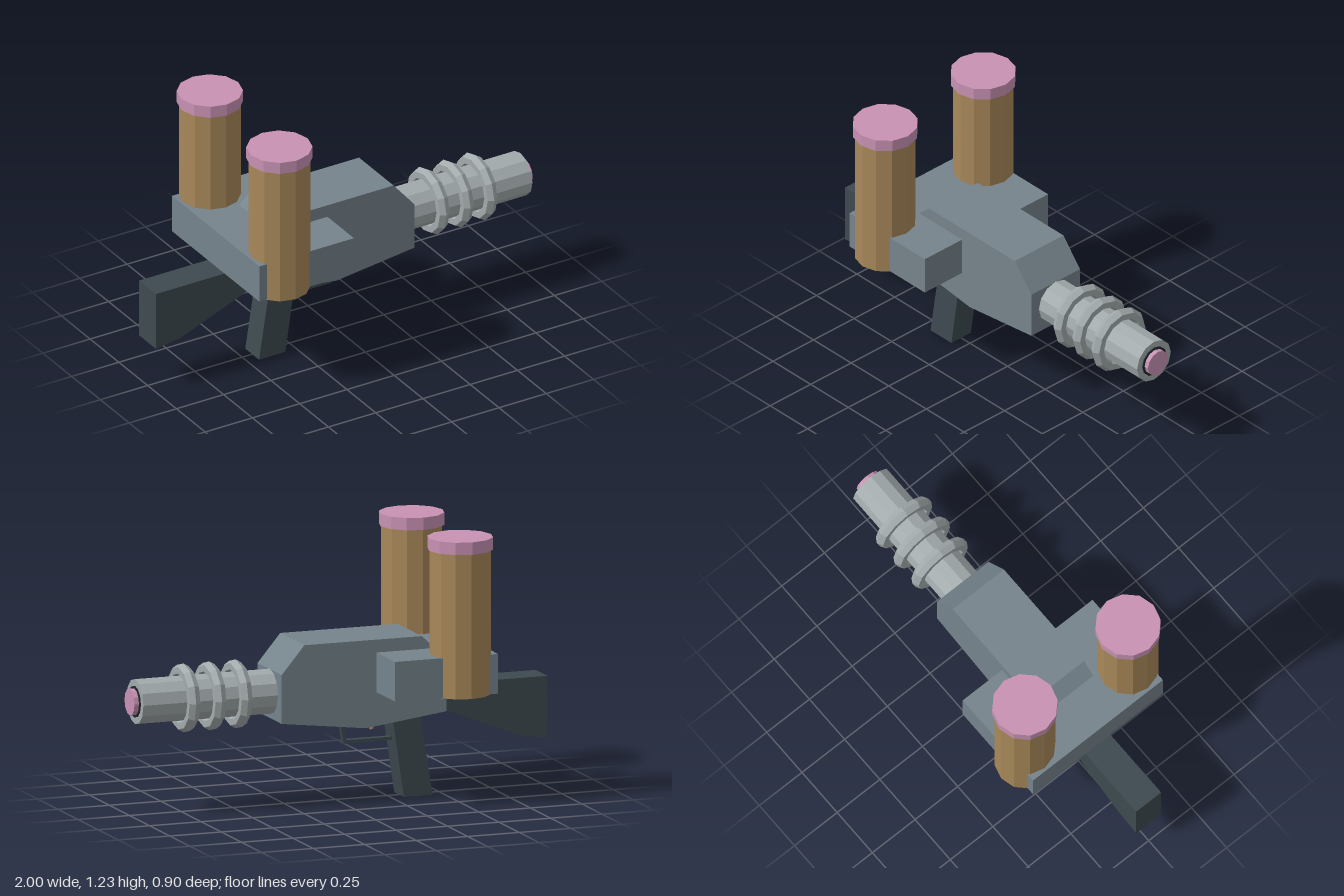
import * as THREE from 'three';

const paint = (color) => new THREE.MeshStandardMaterial({ color, flatShading: true, side: THREE.DoubleSide });

export function createModel() {
  const model = new THREE.Group();
  const steel = paint(0x76848c), dark = paint(0x3e4a50), metal = paint(0xa3abad);
  const pink = paint(0xc992b4), brass = paint(0xa8885a), black = paint(0x20282c);
  const axisY = 0.523;

  const add = (name, geometry, material, x = 0, y = 0, z = 0) => {
    const mesh = new THREE.Mesh(geometry, material);
    mesh.name = name;
    mesh.position.set(x, y, z);
    model.add(mesh);
    return mesh;
  };
  // Side profile in x,y given a width across z
  const slab = (name, points, width, material) => {
    const shape = new THREE.Shape(points.map(([x, y]) => new THREE.Vector2(x, y)));
    const geometry = new THREE.ExtrudeGeometry(shape, { depth: width, bevelEnabled: false });
    return add(name, geometry.translate(0, 0, -width / 2), material);
  };
  // Profile of [radius, x] turned around the barrel axis
  const turned = (name, points, material) => {
    const geometry = new THREE.LatheGeometry(points.map(([r, x]) => new THREE.Vector2(r, x)), 12);
    return add(name, geometry.rotateZ(-Math.PI / 2), material, 0, axisY, 0);
  };

  // Receiver and the crossbar that holds the canisters
  slab('body', [[-0.48, 0.4], [-0.09, 0.35], [0.32, 0.4], [0.32, 0.625], [0.21, 0.755],
    [-0.36, 0.755], [-0.43, 0.69], [-0.48, 0.6]], 0.3, steel);
  add('crossbar', new THREE.BoxGeometry(0.5, 0.183, 0.76), steel, -0.39, 0.604, 0);

  // Stock, grip and trigger
  slab('stock', [[-1, 0.225], [-0.87, 0.245], [-0.47, 0.402], [-0.47, 0.51], [-1, 0.51]], 0.146, dark);
  slab('grip', [[-0.447, 0], [-0.308, 0], [-0.25, 0.39], [-0.385, 0.4]], 0.12, dark);
  slab('triggerGuard', [[-0.28, 0.258], [-0.034, 0.258], [-0.014, 0.37], [-0.03, 0.37],
    [-0.046, 0.273], [-0.28, 0.273]], 0.03, dark);
  slab('trigger', [[-0.192, 0.37], [-0.178, 0.37], [-0.168, 0.312], [-0.18, 0.316]], 0.02, brass);

  // Barrel with recessed muzzle
  turned('barrel', [[0, 0.31], [0.104, 0.31], [0.104, 0.973], [0.073, 0.973], [0.073, 0.94]], metal);
  turned('muzzleLiner', [[0.073, 0.94], [0.073, 0.978], [0.062, 0.978]], black);
  turned('muzzleCore', [[0.062, 0.94], [0.062, 1], [0, 1]], pink);

  // Cooling rings
  for (const x of [0.485, 0.612, 0.738]) {
    const ring = new THREE.TorusGeometry(0.129, 0.03, 6, 12).rotateY(Math.PI / 2);
    add('barrelRing', ring, metal, x, axisY, 0);
  }

  // Pair of canisters with lids
  for (const side of [-1, 1]) {
    add('canister', new THREE.CylinderGeometry(0.14, 0.14, 0.67, 12), brass, -0.487, 0.845, side * 0.302);
    add('canisterLid', new THREE.CylinderGeometry(0.15, 0.15, 0.057, 12), pink, -0.487, 1.206, side * 0.302);
  }
  return model;
}
